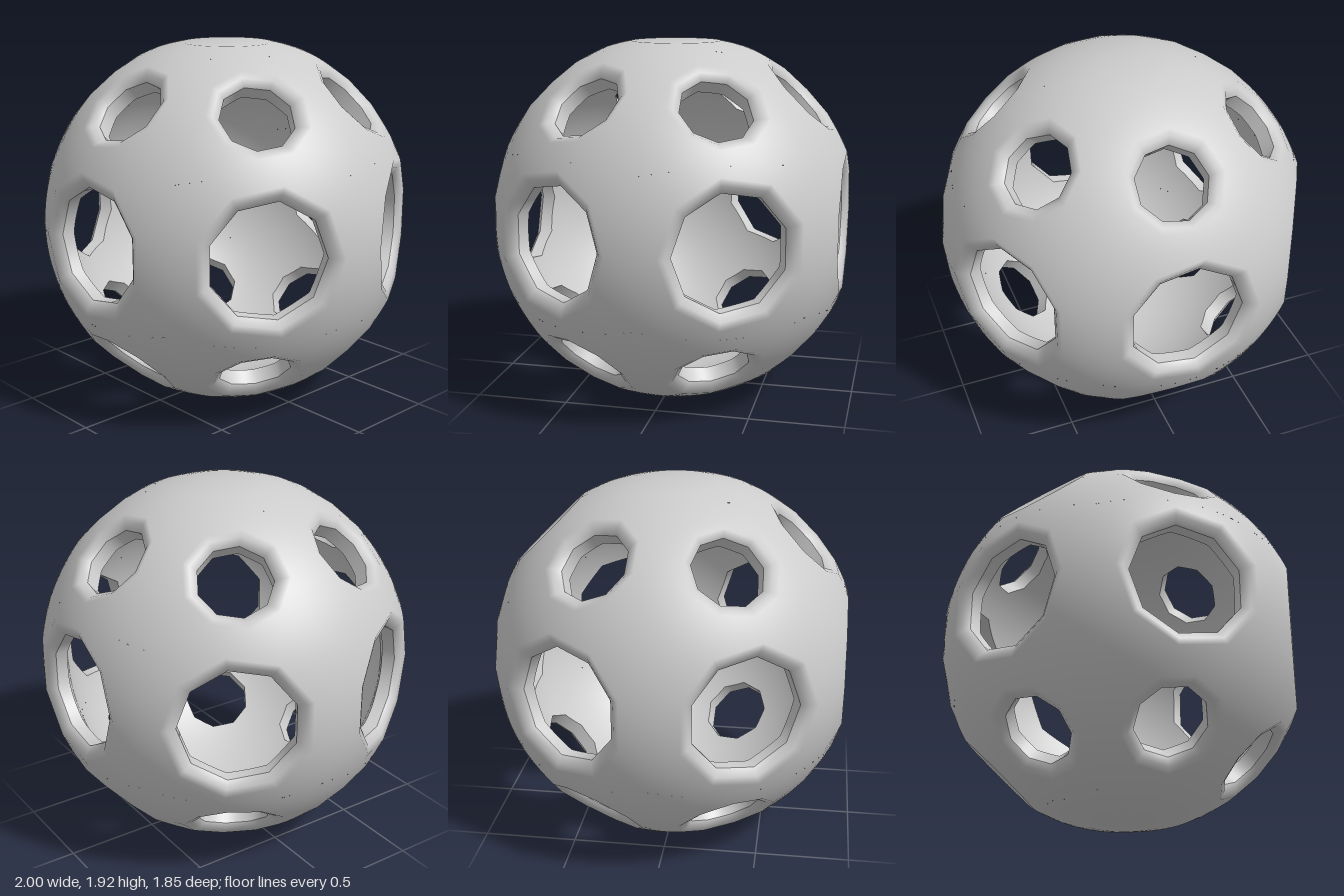
import * as THREE from 'three';

const R_OUT = 1, R_IN = 0.87, CENTRE_Y = 0.96;
const rad = THREE.MathUtils.degToRad;
const SIDES = 9, RAYS = 72, STEPS = 5;

// rim: [radius, distance from centre] of the bevel, from the outside in to the bore
const KINDS = {
  large: { rim: [[0.385, 0.925], [0.345, 0.916], [0.303, 0.888]], spread: Math.asin(0.385) },
  small: { rim: [[0.265, 0.967], [0.228, 0.958], [0.19, 0.93]], spread: Math.asin(0.27) },
  cap: { rim: [[0.24, 0.96], [0.12, 0.96], [0, 0.96]], spread: Math.asin(0.24) },
};

// All panels of the ball: one per opening, plus the closed poles
function layout() {
  const cells = [];
  const add = (name, kind, azimuth, elevation, phase) => {
    const a = new THREE.Vector3().setFromSphericalCoords(1, rad(90 - elevation), rad(azimuth));
    const e1 = Math.abs(elevation) === 90
      ? new THREE.Vector3(1, 0, 0)
      : new THREE.Vector3(0, 1, 0).cross(a).normalize();
    const e2 = a.clone().cross(e1);
    cells.push({ name, kind, ...KINDS[kind], a, e1, e2, phase });
  };
  for (let i = 0; i < 6; i++) {
    const az = i * 60;
    add('equatorOpening', 'large', az, 0, [0, 2, 4].includes(i) ? 180 : 0);
    add('upperOpening', 'small', az, 45, i < 3 ? 180 : 0);
    add('lowerOpening', 'small', az, -45, i < 3 ? 0 : 180);
  }
  add('topCap', 'cap', 0, 90, 0);
  add('bottomCap', 'cap', 0, -90, 0);
  return cells;
}

// Panel sweeping the shell around one axis, out to the borders with its neighbours
function panelGeometry(cell, cells) {
  const { a, e1, e2, rim, kind } = cell;
  const borders = cells.filter((c) => c !== cell).map((c) =>
    a.clone().divideScalar(Math.cos(cell.spread)).addScaledVector(c.a, -1 / Math.cos(c.spread)));
  const direction = (t) => e1.clone().multiplyScalar(Math.cos(t)).addScaledVector(e2, Math.sin(t));
  const reach = (t) => {
    const u = direction(t);
    let phi = Math.PI / 2, index = -1;
    borders.forEach((n, i) => {
      const un = u.dot(n);
      if (un >= -1e-9) return;
      const p = Math.atan2(a.dot(n), -un);
      if (p < phi - 1e-9) { phi = p; index = i; }
    });
    return { phi, index };
  };

  // Regular rays, plus one exactly at each corner of the panel
  const angles = [];
  const start = rad(cell.phase);
  for (let i = 0; i < RAYS; i++) {
    let lo = start + (i / RAYS) * Math.PI * 2, hi = start + ((i + 1) / RAYS) * Math.PI * 2;
    angles.push(lo);
    const first = reach(lo).index;
    if (first === reach(hi).index) continue;
    for (let k = 0; k < 30; k++) {
      const mid = (lo + hi) / 2;
      if (reach(mid).index === first) lo = mid; else hi = mid;
    }
    angles.push(hi);
  }
  angles.push(start + Math.PI * 2);

  const positions = [], normals = [], indices = [];
  let count = 0;
  angles.forEach((t, row) => {
    const u = direction(t), phi = reach(t).phi;
    const step = (Math.PI * 2) / SIDES;
    const local = (((t - start) % step) + step) % step;
    const facet = kind === 'cap' ? 1 : Math.cos(step / 2) / Math.cos(local - step / 2);
    // profile: radius, distance, normal along radius, normal along axis
    const profile = [];
    const rings = rim.map(([r, d]) => [r * facet, d]);
    const [r0, d0] = rings[0];
    const phi0 = Math.atan2(r0, d0), rho0 = Math.hypot(r0, d0);
    for (let k = 0; k <= STEPS; k++) {
      const f = k / STEPS, p = phi + (phi0 - phi) * f;
      const rho = R_OUT + (rho0 - R_OUT) * f;
      profile.push([rho * Math.sin(p), rho * Math.cos(p), Math.sin(p), Math.cos(p)]);
    }
    const flat = kind === 'cap';
    const bore = rings[2][0], boreIn = Math.sqrt(R_IN ** 2 - bore ** 2);
    profile.push([...rings[1], flat ? 0.1 : -0.35, flat ? 0.99 : 0.94]);
    profile.push([...rings[2], flat ? 0 : -0.8, flat ? 1 : 0.6]);
    profile.push([...rings[2], -1, 0], [bore, boreIn, -1, 0]);
    const phiIn = Math.atan2(bore, boreIn);
    for (let k = 0; k <= STEPS; k++) {
      const p = phiIn + (phi - phiIn) * (k / STEPS);
      profile.push([R_IN * Math.sin(p), R_IN * Math.cos(p), -Math.sin(p), -Math.cos(p)]);
    }
    count = profile.length;
    profile.forEach(([r, d, nr, nd], k) => {
      const v = u.clone().multiplyScalar(r).addScaledVector(a, d);
      const n = u.clone().multiplyScalar(nr).addScaledVector(a, nd).normalize();
      positions.push(v.x, v.y, v.z);
      normals.push(n.x, n.y, n.z);
      if (row === 0 || k === 0) return;
      const B = row * count + k - 1, A = B - count;
      indices.push(A, B, B + 1, A, B + 1, A + 1);
    });
  });

  const geometry = new THREE.BufferGeometry();
  geometry.setAttribute('position', new THREE.Float32BufferAttribute(positions, 3));
  geometry.setAttribute('normal', new THREE.Float32BufferAttribute(normals, 3));
  geometry.setIndex(indices);
  return geometry;
}

export function createModel() {
  const group = new THREE.Group();
  group.name = 'perforatedBall';
  const material = new THREE.MeshStandardMaterial({ color: 0xcccccc });
  const cells = layout();
  for (const cell of cells) {
    const mesh = new THREE.Mesh(panelGeometry(cell, cells), material);
    mesh.name = cell.name;
    mesh.position.y = CENTRE_Y;
    group.add(mesh);
  }
  return group;
}
